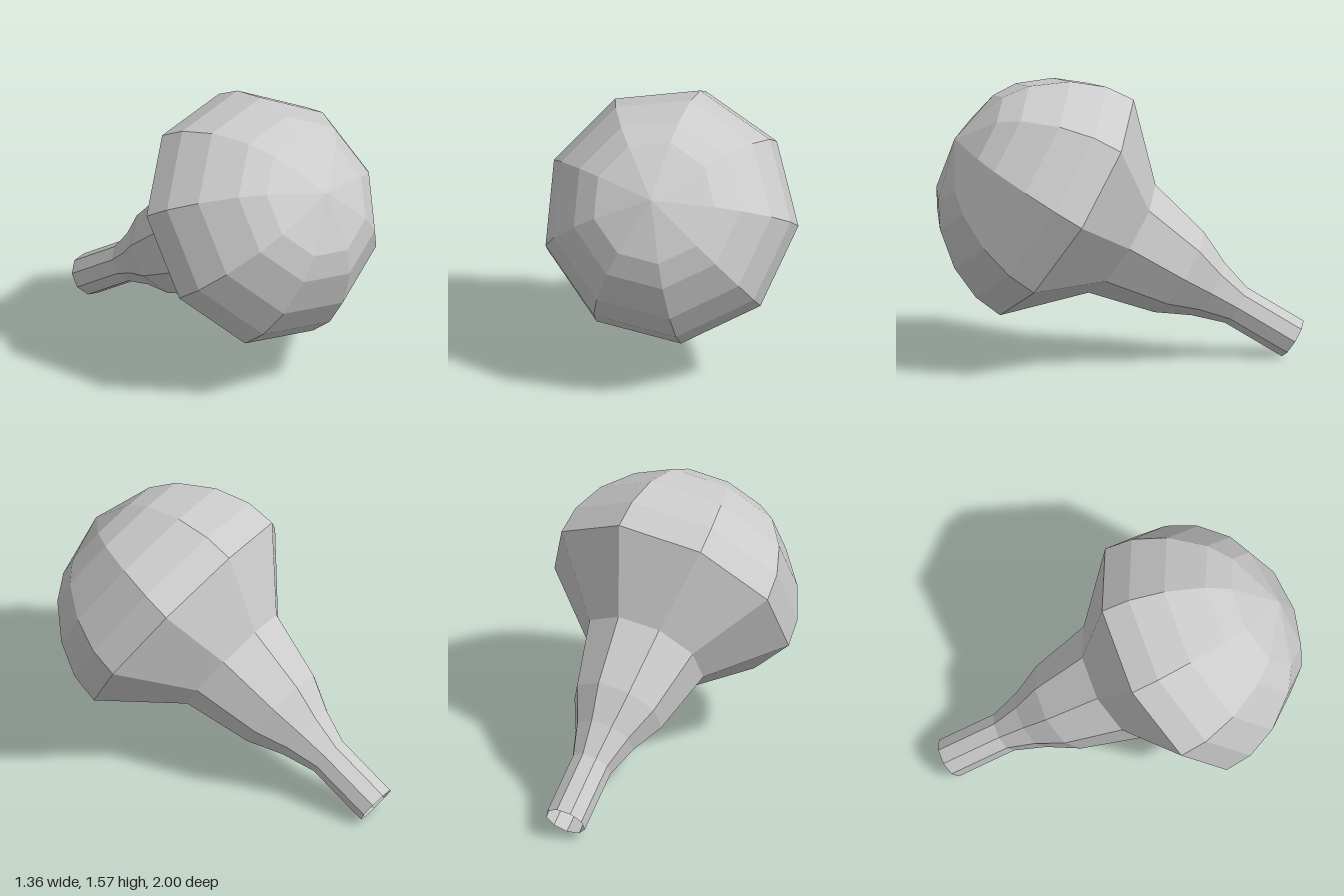
import * as THREE from 'three';

const SIDES = 9;

// Faceted surface of revolution from [radius, height] pairs, bottom to top
function turned(name, profile, material) {
  const points = profile.map(([r, h]) => new THREE.Vector2(r, h));
  const mesh = new THREE.Mesh(new THREE.LatheGeometry(points, SIDES, Math.PI / 2), material);
  mesh.name = name;
  return mesh;
}

export function createModel() {
  const model = new THREE.Group();
  model.name = 'bulb';
  const material = new THREE.MeshStandardMaterial({
    color: 0xcccccc, flatShading: true, side: THREE.DoubleSide,
  });

  // Height 0 is the widest ring
  const body = new THREE.Group();
  body.name = 'body';
  body.add(
    // Rounded front
    turned('dome', [[0.7, 0], [0.684, 0.165], [0.607, 0.348], [0.466, 0.524], [0.338, 0.61], [0, 0.703]], material),
    // Cone closing in behind the dome
    turned('shoulder', [[0.35, -0.366], [0.7, 0]], material),
    // Tapered neck
    turned('neck', [[0.115, -1.106], [0.172, -0.924], [0.26, -0.737], [0.35, -0.366]], material),
    // Straight tube, open at its end
    turned('stem', [[0.115, -1.472], [0.115, -1.106]], material),
  );

  // Lean the axis forward, dome up and to the front
  body.rotation.x = THREE.MathUtils.degToRad(58);
  body.position.set(-0.02, 0.885, 0.305);
  model.add(body);
  return model;
}
